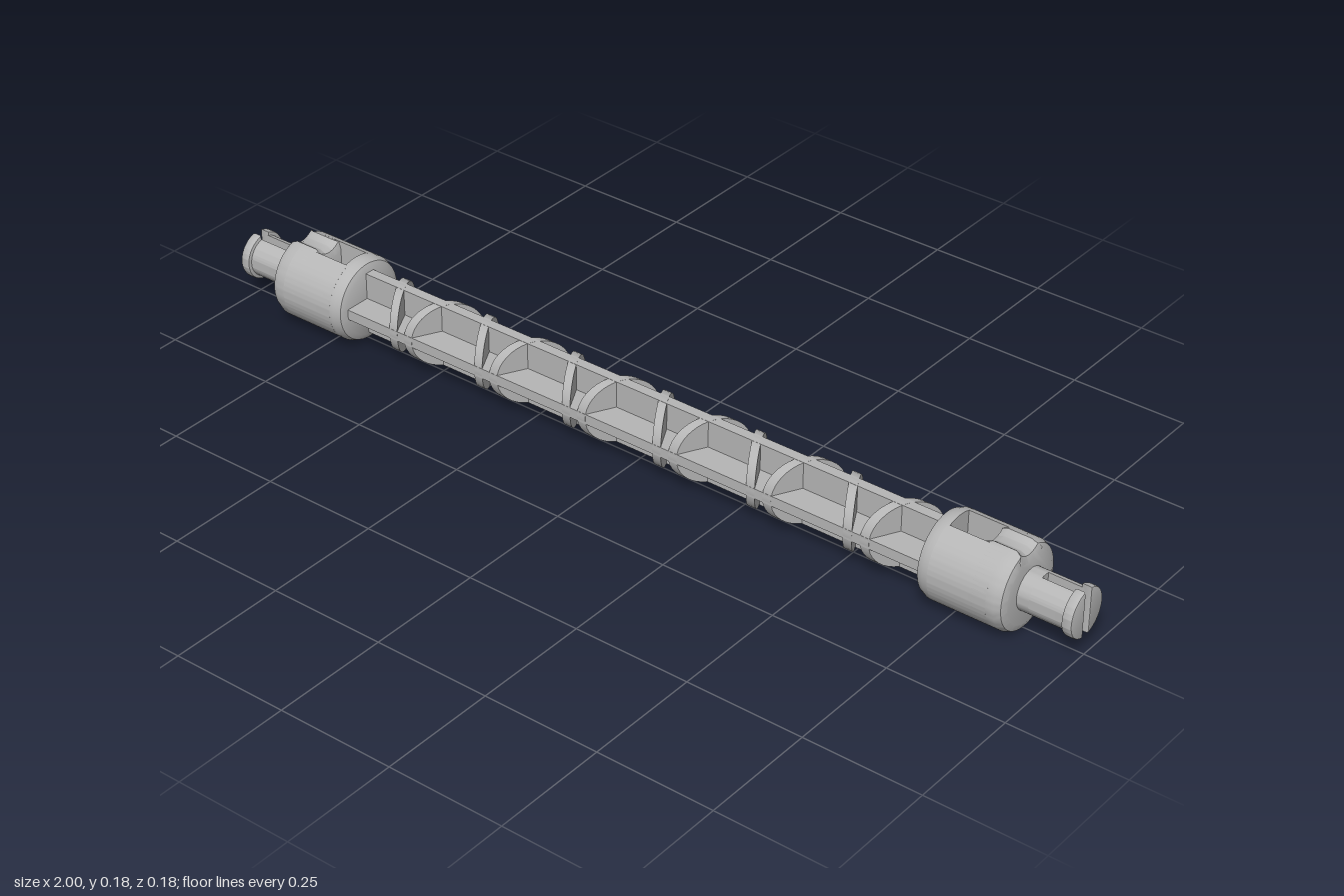
import * as THREE from 'three';
import { toCreasedNormals } from 'three/addons/utils/BufferGeometryUtils.js';

const AXIS_Y = 0.09;

export function createModel() {
  const model = new THREE.Group();
  model.name = 'connectorRod';
  const grey = new THREE.MeshStandardMaterial({ color: 0xb6b6b6 });
  grey.name = 'light grey plastic';

  const add = (parent, name, geometry) => {
    const mesh = new THREE.Mesh(geometry, grey);
    mesh.name = name;
    parent.add(mesh);
    return mesh;
  };

  // Extrude a cross-section along x, from x0 to x1
  const extrudeX = (shape, x0, x1, bevel = 0) => {
    const g = new THREE.ExtrudeGeometry(shape, {
      depth: x1 - x0 - 2 * bevel, curveSegments: 32, bevelEnabled: bevel > 0,
      bevelSize: bevel, bevelThickness: bevel, bevelOffset: -bevel, bevelSegments: 2,
    });
    g.translate(0, 0, x0 + bevel).rotateY(Math.PI / 2);
    return toCreasedNormals(g, 0.5);
  };

  // Turn a [radius, x] profile about the rod axis
  const turnX = (profile) => {
    const g = new THREE.LatheGeometry(profile.map(([r, x]) => new THREE.Vector2(r, x)), 48);
    return toCreasedNormals(g.rotateZ(-Math.PI / 2), 0.5);
  };

  // The two sides of a disc left after cutting a slot of half-width cut
  const addSplitDisc = (parent, name, r, cut, x0, x1, bevel = 0) => {
    const a = Math.acos(cut / r);
    for (const turn of [0, Math.PI]) {
      const shape = new THREE.Shape();
      shape.absarc(0, 0, r, turn - a, turn + a, false);
      shape.closePath();
      add(parent, name, extrudeX(shape, x0, x1, bevel));
    }
  };

  // Beam: crossed webs along the full span
  const beam = new THREE.Group();
  beam.name = 'beam';
  model.add(beam);
  add(beam, 'verticalWeb', new THREE.BoxGeometry(1.4, 0.136, 0.022));
  add(beam, 'horizontalWeb', new THREE.BoxGeometry(1.4, 0.022, 0.136));

  // Round ribs leaning alternately left and right in plan
  for (let i = 0; i < 12; i++) {
    const rib = new THREE.CylinderGeometry(0.0685, 0.0685, 0.02, 40).rotateZ(Math.PI / 2);
    const lean = i % 2 === 0 ? 0.53 : -0.53;
    rib.applyMatrix4(new THREE.Matrix4().makeShear(0, 0, 0, 0, lean, 0));
    add(beam, 'rib', rib).position.x = (i - 5.5) * 0.11;
  }

  // Collar and split pin, turned round for the other end
  for (const turn of [0, Math.PI]) {
    const end = new THREE.Group();
    end.name = turn ? 'rightEnd' : 'leftEnd';
    end.rotation.y = turn;
    model.add(end);

    add(end, 'collarInner', turnX([[0, 0.69], [0.072, 0.69], [0.084, 0.696], [0.09, 0.71], [0.09, 0.725], [0, 0.725]]));
    // Sides of the window passing vertically through the collar
    addSplitDisc(end, 'collarSide', 0.09, 0.03, 0.72, 0.845);

    // Outer collar with a shallow groove on top
    const face = new THREE.Shape();
    face.absarc(0, 0, 0.09, Math.PI / 2 + 0.27, Math.PI * 2.5 - 0.27, false);
    face.quadraticCurveTo(0, 0.067, -0.024, 0.0867);
    add(end, 'collarOuter', extrudeX(face, 0.795, 0.88, 0.018));

    add(end, 'pinBase', turnX([[0, 0.86], [0.043, 0.86], [0.043, 0.91], [0, 0.91]]));
    addSplitDisc(end, 'pinProng', 0.043, 0.01, 0.905, 0.985);
    addSplitDisc(end, 'pinLip', 0.051, 0.01, 0.978, 1.0, 0.004);
  }

  for (const part of model.children) part.position.y = AXIS_Y;
  return model;
}
